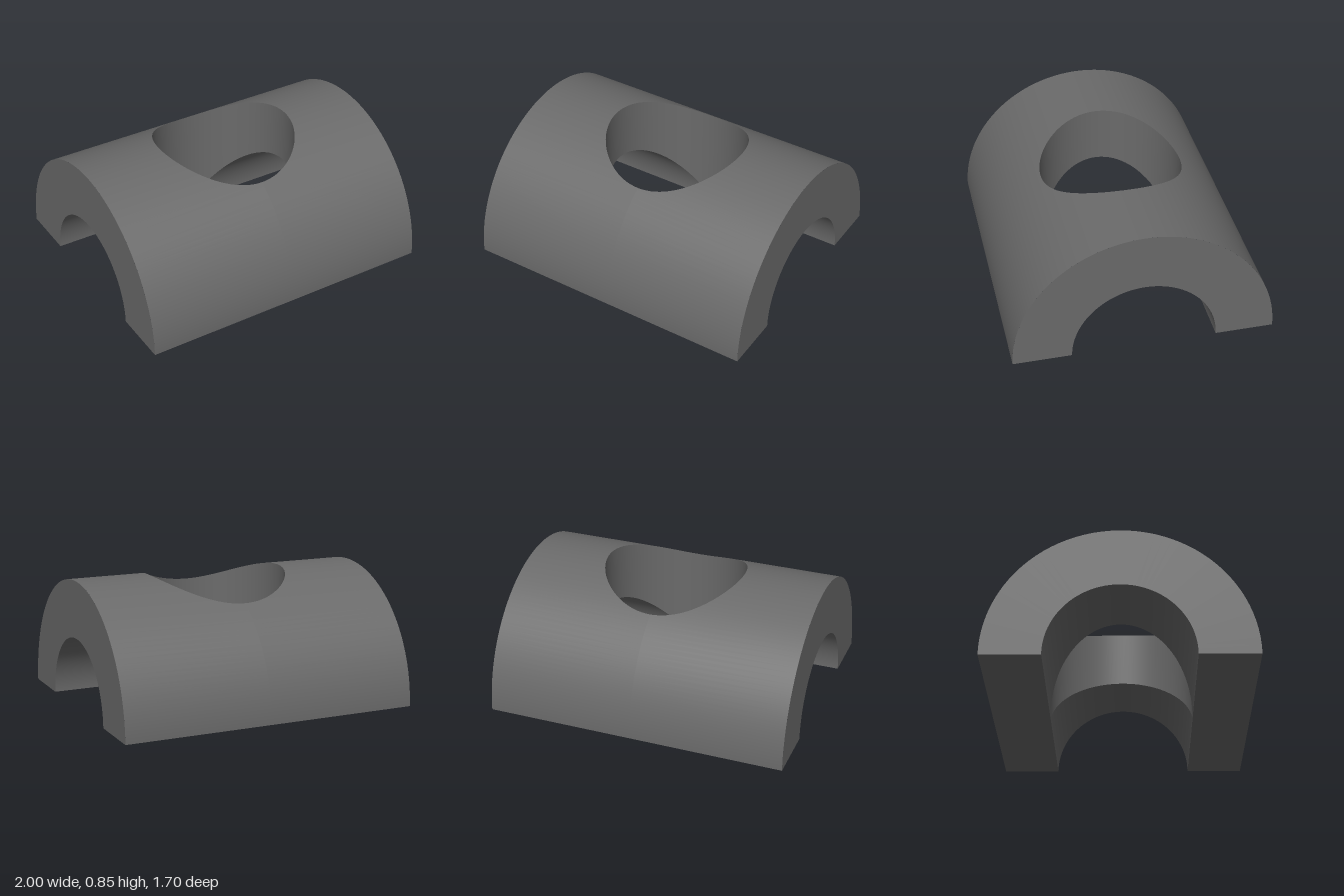
import * as THREE from 'three';

const OUTER = 0.85, BORE = 0.47, HOLE = 0.47, HOLE_X = 0.02, HALF = 1, N = 48;
const material = new THREE.MeshStandardMaterial({ color: 0x6a6a6a });

// Skin a list of two-point rows; normalAt gives the outward normal at a point
function strip(name, rows, normalAt) {
  const pts = rows.flat(), pos = [], nor = [], index = [];
  pts.forEach((p) => {
    pos.push(p.x, p.y, p.z);
    nor.push(...normalAt(p).normalize().toArray());
  });
  const tri = new THREE.Triangle(), n = new THREE.Vector3();
  const add = (a, b, c) => {
    tri.set(pts[a], pts[b], pts[c]);
    if (tri.getArea() < 1e-9) return;
    const facing = normalAt(pts[a]).add(normalAt(pts[b])).add(normalAt(pts[c]));
    if (tri.getNormal(n).dot(facing) > 0) index.push(a, b, c);
    else index.push(a, c, b);
  };
  for (let i = 0; i < rows.length - 1; i++) {
    const k = i * 2;
    add(k, k + 1, k + 3);
    add(k, k + 3, k + 2);
  }
  const geo = new THREE.BufferGeometry();
  geo.setAttribute('position', new THREE.Float32BufferAttribute(pos, 3));
  geo.setAttribute('normal', new THREE.Float32BufferAttribute(nor, 3));
  geo.setIndex(index);
  const mesh = new THREE.Mesh(geo, material);
  mesh.name = name;
  return mesh;
}

const V = (x, y, z) => new THREE.Vector3(x, y, z);
const range = (a, b, n) => Array.from({ length: n + 1 }, (_, i) => a + ((b - a) * i) / n);
// Point on a half cylinder; angle 0 is the crown, +90 degrees the front edge
const onArch = (r, a, x) => V(x, r * Math.cos(a), r * Math.sin(a));

export function createModel() {
  const group = new THREE.Group();
  group.name = 'halfSleeve';
  const q = Math.PI / 2, edge = Math.asin(HOLE / OUTER);
  const turn = range(-q, q, N);

  // Outer rows are spaced to follow the hole, then continue down both flanks
  const outerAngles = [
    ...range(-q, -edge, 24).slice(0, -1),
    ...turn.map((t) => Math.asin((HOLE * Math.sin(t)) / OUTER)),
    ...range(edge, q, 24).slice(1),
  ];

  // Curved skins, cut back on either side of the hole
  for (const side of [-1, 1]) {
    const tag = side > 0 ? 'Left' : 'Right';
    const skin = (r, angles) => angles.map((a) => {
      const half = Math.sqrt(Math.max(0, HOLE ** 2 - (r * Math.sin(a)) ** 2));
      return [onArch(r, a, HOLE_X + side * half), onArch(r, a, side * HALF)];
    });
    group.add(strip('outerShell' + tag, skin(OUTER, outerAngles), (p) => V(0, p.y, p.z)));
    group.add(strip('innerBore' + tag, skin(BORE, turn), (p) => V(0, -p.y, -p.z)));

    // Flat arched end
    const end = turn.map((a) => [onArch(BORE, a, side * HALF), onArch(OUTER, a, side * HALF)]);
    group.add(strip('endFace' + tag, end, () => V(side, 0, 0)));

    // Flat foot along the front or back
    const foot = [-HALF, HOLE_X, HALF].map((x) => [V(x, 0, side * BORE), V(x, 0, side * OUTER)]);
    group.add(strip(side > 0 ? 'frontFoot' : 'backFoot', foot, () => V(0, -1, 0)));
  }

  // Vertical hole wall between the bore and the outer shell
  const wall = range(0, Math.PI * 2, N * 2).map((t) => {
    const x = HOLE_X + HOLE * Math.cos(t), z = HOLE * Math.sin(t);
    return [
      V(x, Math.sqrt(Math.max(0, BORE ** 2 - z * z)), z),
      V(x, Math.sqrt(OUTER ** 2 - z * z), z),
    ];
  });
  group.add(strip('holeWall', wall, (p) => V(HOLE_X - p.x, 0, -p.z)));

  return group;
}
